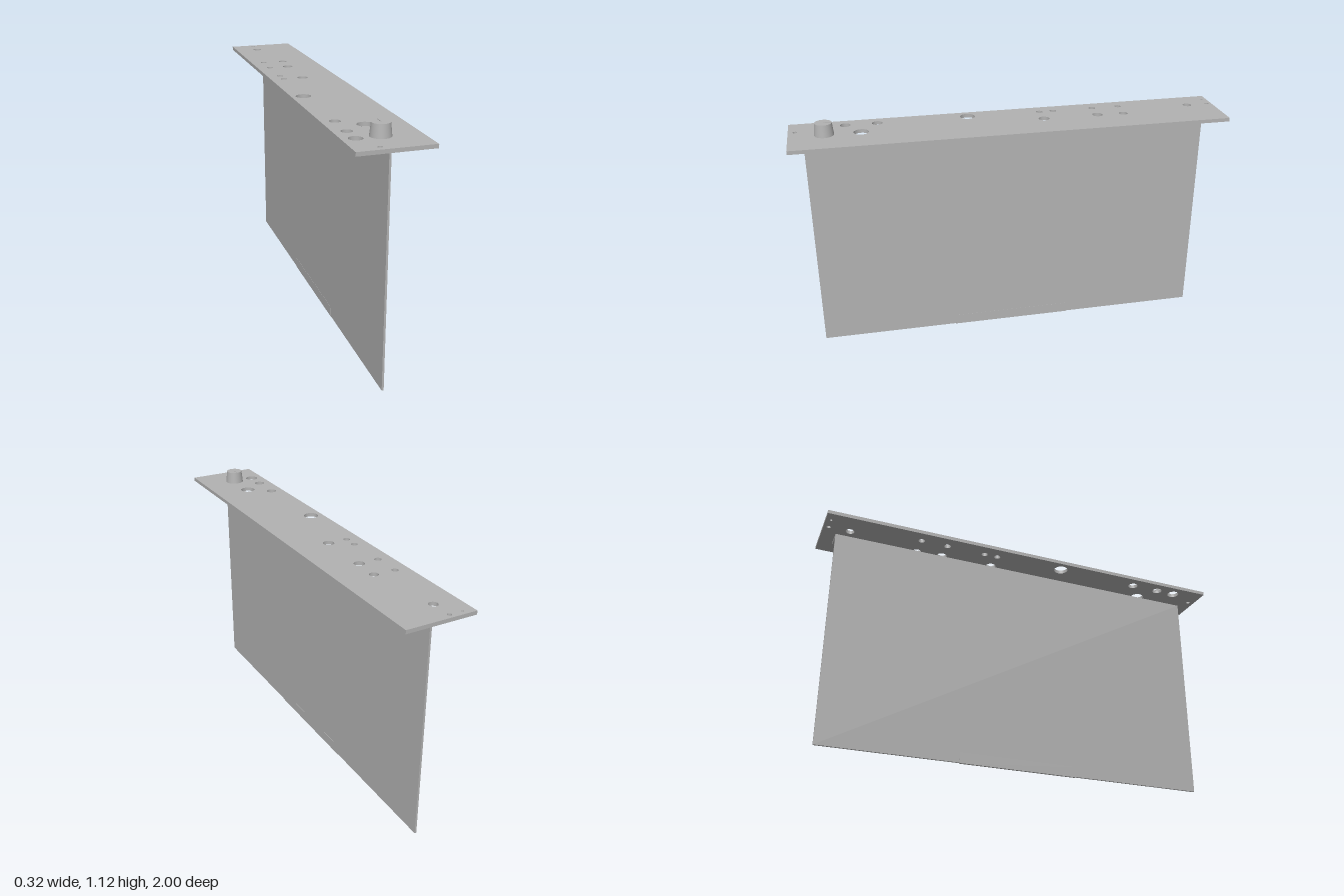
import * as THREE from 'three';

export function createModel() {
  const model = new THREE.Group();
  const grey = new THREE.MeshStandardMaterial({ color: 0xb2b2b2 });
  grey.name = 'plain grey';

  const add = (name, geometry) => {
    const mesh = new THREE.Mesh(geometry, grey);
    mesh.name = name;
    model.add(mesh);
    return mesh;
  };
  // Box given by its lower and upper limits on each axis
  const box = (name, [x0, x1], [y0, y1], [z0, z1]) =>
    add(name, new THREE.BoxGeometry(x1 - x0, y1 - y0, z1 - z0))
      .position.set((x0 + x1) / 2, (y0 + y1) / 2, (z0 + z1) / 2);

  // Face panel with drilled holes: x, z, radius
  const holes = [
    [-0.11, -0.976, 0.006], [-0.05, -0.976, 0.01], [-0.05, -0.876, 0.02],
    [-0.1, -0.542, 0.015], [0, -0.537, 0.02],
    [-0.1, -0.413, 0.016], [-0.007, -0.413, 0.024],
    [-0.1, -0.222, 0.015], [-0.1, -0.156, 0.015], [-0.007, -0.156, 0.025],
    [-0.107, 0.186, 0.034], [-0.104, 0.603, 0.024], [-0.005, 0.68, 0.034],
    [-0.105, 0.747, 0.024], [-0.105, 0.844, 0.029], [-0.057, 0.969, 0.01],
  ];
  const outline = new THREE.Shape([
    new THREE.Vector2(-0.162, -1), new THREE.Vector2(0.162, -1),
    new THREE.Vector2(0.162, 1), new THREE.Vector2(-0.162, 1),
  ]);
  for (const [x, z, r] of holes) {
    outline.holes.push(new THREE.Path().absarc(x, -z, r, 0, Math.PI * 2, true));
  }
  const panel = new THREE.ExtrudeGeometry(outline, {
    depth: 0.017, bevelEnabled: false, curveSegments: 24,
  });
  panel.rotateX(-Math.PI / 2);
  add('facePanel', panel).position.y = 1.048;

  // Mounting rail under the panel, and the upright board below it
  box('mountingRail', [-0.005, 0.079], [1.036, 1.048], [-0.935, 0.935]);
  box('board', [-0.0055, 0.0035], [0.002, 1.048], [-0.935, 0.935]);

  // Edge connector, slightly proud of the board on both sides
  box('edgeConnector', [-0.0062, 0.0042], [0, 0.05], [-0.287, 0.287]);

  // Tapered knob with a thin pointer on its top
  add('knob', new THREE.CylinderGeometry(0.038, 0.044, 0.056, 40))
    .position.set(-0.004, 1.093, 0.842);
  box('knobPointer', [-0.006, -0.002], [1.119, 1.123], [0.806, 0.842]);

  return model;
}
